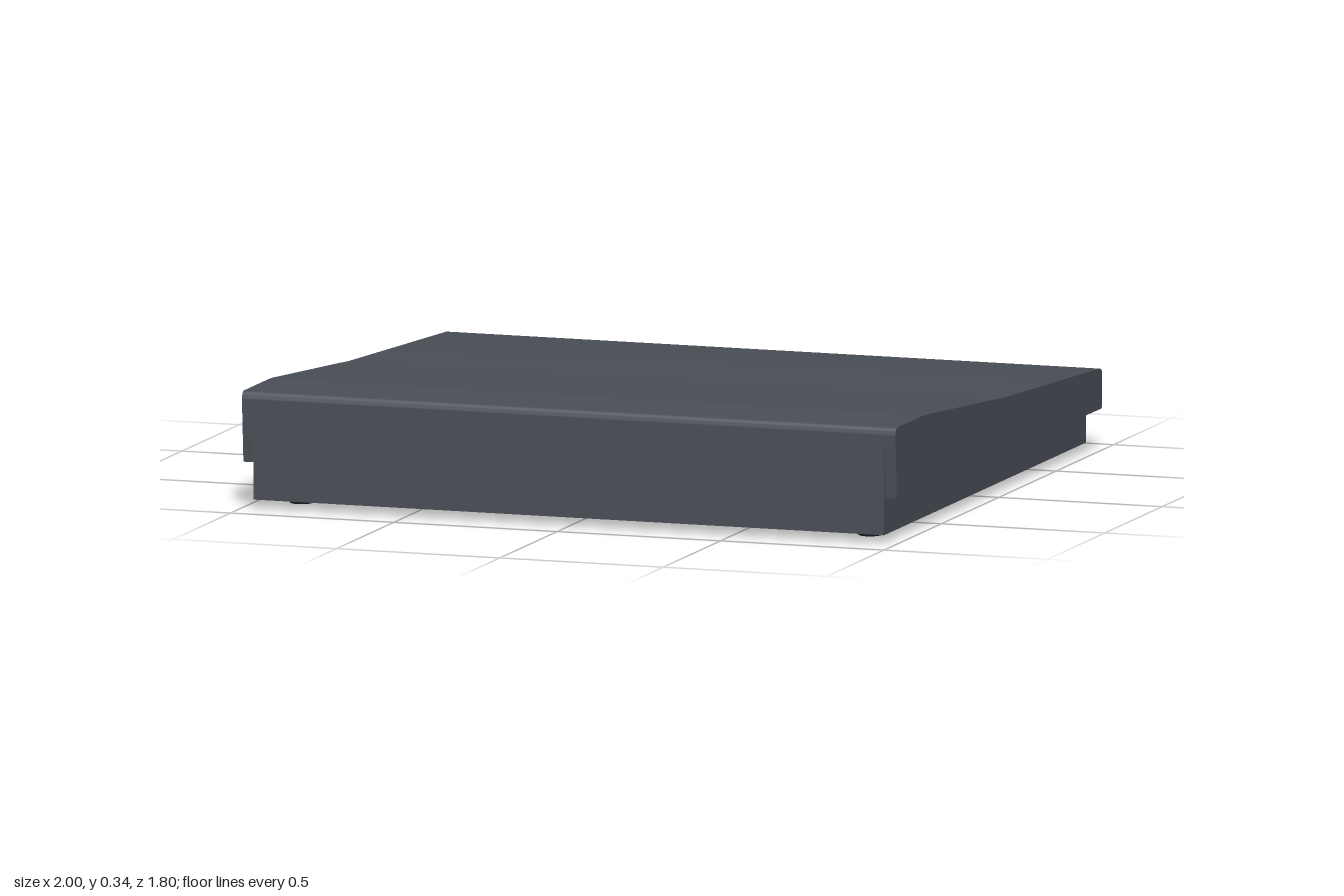
import * as THREE from 'three';
import { toCreasedNormals } from 'three/addons/utils/BufferGeometryUtils.js';

// Extrude a side profile (z, y) across the width, centred on x = 0
function extrudeProfile(shape, width) {
  const geo = new THREE.ExtrudeGeometry(shape, { depth: width, bevelEnabled: false, curveSegments: 10 });
  geo.translate(0, 0, -width / 2);
  geo.rotateY(-Math.PI / 2);
  return toCreasedNormals(geo, 0.6);
}

export function createModel() {
  const model = new THREE.Group();
  const slate = new THREE.MeshStandardMaterial({ color: 0x4a4f57 });
  slate.name = 'slate casing';
  const rubber = new THREE.MeshStandardMaterial({ color: 0x2c2d30 });
  rubber.name = 'dark rubber';

  const add = (name, geo, mat) => {
    const mesh = new THREE.Mesh(geo, mat);
    mesh.name = name;
    model.add(mesh);
    return mesh;
  };

  // Sloping lid: rounded front and back edges, front of the side skirts leaning inward
  const lid = new THREE.Shape();
  lid.moveTo(-0.888, 0.122);
  lid.quadraticCurveTo(-0.9, 0.122, -0.9, 0.134);
  lid.lineTo(-0.9, 0.222);
  lid.quadraticCurveTo(-0.9, 0.239, -0.88, 0.241);
  lid.lineTo(-0.05, 0.285);
  lid.quadraticCurveTo(0, 0.288, 0.05, 0.293);
  lid.lineTo(0.6, 0.337);
  lid.quadraticCurveTo(0.64, 0.341, 0.68, 0.341);
  lid.lineTo(0.878, 0.341);
  lid.quadraticCurveTo(0.9, 0.341, 0.9, 0.318);
  lid.lineTo(0.887, 0.133);
  lid.closePath();
  add('lid', extrudeProfile(lid, 2), slate);

  // Base tray with a front wall that rises to the lid's front edge
  const base = new THREE.Shape();
  base.moveTo(-0.86, 0.026);
  base.lineTo(0.9, 0.026);
  base.lineTo(0.9, 0.318);
  base.lineTo(0.86, 0.318);
  base.lineTo(0.86, 0.15);
  base.lineTo(-0.86, 0.15);
  base.closePath();
  add('base', extrudeProfile(base, 1.93), slate);

  // Four tapered feet
  const footGeo = new THREE.CylinderGeometry(0.053, 0.034, 0.027, 24);
  for (const x of [-0.87, 0.87]) {
    for (const z of [-0.745, 0.75]) {
      add('foot', footGeo, rubber).position.set(x, 0.0135, z);
    }
  }
  return model;
}
